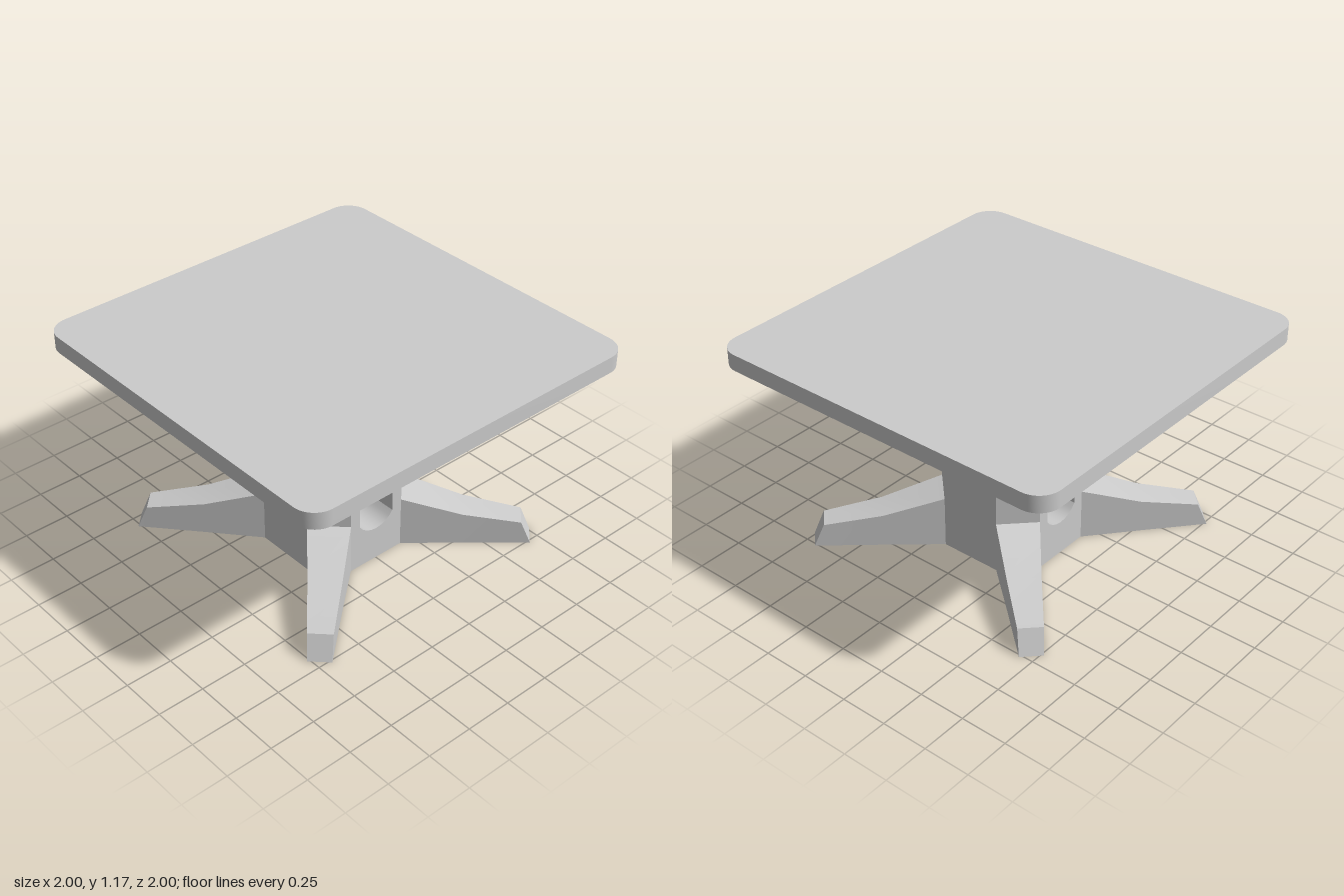
import * as THREE from 'three';
import { toCreasedNormals } from 'three/addons/utils/BufferGeometryUtils.js';

const material = new THREE.MeshStandardMaterial({ color: 0xcccccc, side: THREE.DoubleSide });

const TOP = 1.17, UNDER = 1.08;      // table top and its underside
const OUT = 0.325, IN = 0.17;        // octagonal column: face distance, half face width
const LEG_Y = 0.285;                 // where the legs meet the column

// Geometry from four-cornered faces, corners counter-clockwise from outside
function quadGeometry(quads) {
  const points = [];
  for (const [a, b, c, d] of quads) {
    points.push(a, b, c);
    if (!a.equals(d)) points.push(a, c, d);
  }
  return toCreasedNormals(new THREE.BufferGeometry().setFromPoints(points), Math.PI / 6);
}

const v = (x, y, z) => new THREE.Vector3(x, y, z);

function addMesh(parent, name, geometry, turn = 0) {
  const mesh = new THREE.Mesh(geometry, material);
  mesh.name = name;
  mesh.rotation.y = turn;
  parent.add(mesh);
  return mesh;
}

// Square top with rounded corners
function tableTopGeometry() {
  const r = 0.12, s = new THREE.Shape();
  [0, 1, 2, 3].forEach((i) => {
    const a = i * Math.PI / 2;
    const cx = (i === 0 || i === 3 ? 1 : -1) * (1 - r), cy = (i < 2 ? 1 : -1) * (1 - r);
    s.absarc(cx, cy, r, a, a + Math.PI / 2, false);
  });
  s.closePath();
  const g = new THREE.ExtrudeGeometry(s, { depth: TOP - UNDER, bevelEnabled: false, curveSegments: 8 });
  g.rotateX(-Math.PI / 2).translate(0, UNDER, 0);
  return toCreasedNormals(g, Math.PI / 6);
}

// Slot outline: down the left side, round the bottom arc, up the right side
function slotProfile() {
  const half = 0.11, R = 0.131, cy = 0.321, n = 8;
  const sweep = Math.asin(half / R);
  const pts = [new THREE.Vector2(-half, UNDER)];
  for (let i = 0; i <= n; i++) {
    const a = -sweep + (2 * sweep * i) / n;
    pts.push(new THREE.Vector2(R * Math.sin(a), cy - R * Math.cos(a)));
  }
  pts.push(new THREE.Vector2(half, UNDER));
  return pts;
}

// Spreading leg on the +x +z diagonal, open underneath
function legGeometry() {
  const rail = [[OUT, LEG_Y, IN], [0.53, 0.183, 0.41], [0.73, 0.13, 0.64], [0.765, 0, 0.68]];
  const quads = [];
  for (let i = 0; i < rail.length - 1; i++) {
    const [x0, y0, z0] = rail[i], [x1, y1, z1] = rail[i + 1];
    // top strip, ending in the sloping toe
    quads.push([v(z1, y1, x1), v(x1, y1, z1), v(x0, y0, z0), v(z0, y0, x0)]);
    // the two sides
    quads.push([v(x1, y1, z1), v(x1, 0, z1), v(x0, 0, z0), v(x0, y0, z0)].map((_, k, q) => q[(k + 1) % 4]));
    quads.push([v(z0, 0, x0), v(z1, 0, x1), v(z1, y1, x1), v(z0, y0, x0)]);
  }
  // the last right-hand side piece is a triangle: put its shared corner first and last
  const tri = quads[quads.length - 2];
  quads[quads.length - 2] = [tri[0], tri[1], tri[2], tri[0]];
  // the last left-hand side piece likewise
  const left = quads[quads.length - 1];
  quads[quads.length - 1] = [left[0], left[1], left[3], left[0]];
  return quadGeometry(quads);
}

export function createModel() {
  const model = new THREE.Group();
  model.name = 'pedestalTable';
  addMesh(model, 'tableTop', tableTopGeometry());

  const column = new THREE.Group();
  column.name = 'column';
  model.add(column);

  // Slotted front and back faces
  const slot = slotProfile();
  const outline = [new THREE.Vector2(-IN, UNDER), new THREE.Vector2(-IN, 0),
    new THREE.Vector2(IN, 0), new THREE.Vector2(IN, UNDER), ...slot.slice().reverse()];
  const face = new THREE.ShapeGeometry(new THREE.Shape(outline)).translate(0, 0, OUT);
  addMesh(column, 'frontFace', face);
  addMesh(column, 'backFace', face, Math.PI);

  // Lining of the slot, running right through the column
  const lining = [];
  for (let i = 0; i < slot.length - 1; i++) {
    const p = slot[i], q = slot[i + 1];
    lining.push([v(p.x, p.y, OUT), v(q.x, q.y, OUT), v(q.x, q.y, -OUT), v(p.x, p.y, -OUT)]);
  }
  addMesh(column, 'slotLining', quadGeometry(lining));

  // Plain side faces
  const side = quadGeometry([[v(OUT, 0, IN), v(OUT, 0, -IN), v(OUT, UNDER, -IN), v(OUT, UNDER, IN)]]);
  addMesh(column, 'leftFace', side);
  addMesh(column, 'rightFace', side, Math.PI);

  // Diagonal column faces with a leg below each
  const diagonal = quadGeometry([[v(IN, LEG_Y, OUT), v(OUT, LEG_Y, IN), v(OUT, UNDER, IN), v(IN, UNDER, OUT)]]);
  const leg = legGeometry();
  for (let i = 0; i < 4; i++) {
    addMesh(column, 'diagonalFace', diagonal, i * Math.PI / 2);
    addMesh(model, 'leg', leg, i * Math.PI / 2);
  }
  return model;
}
